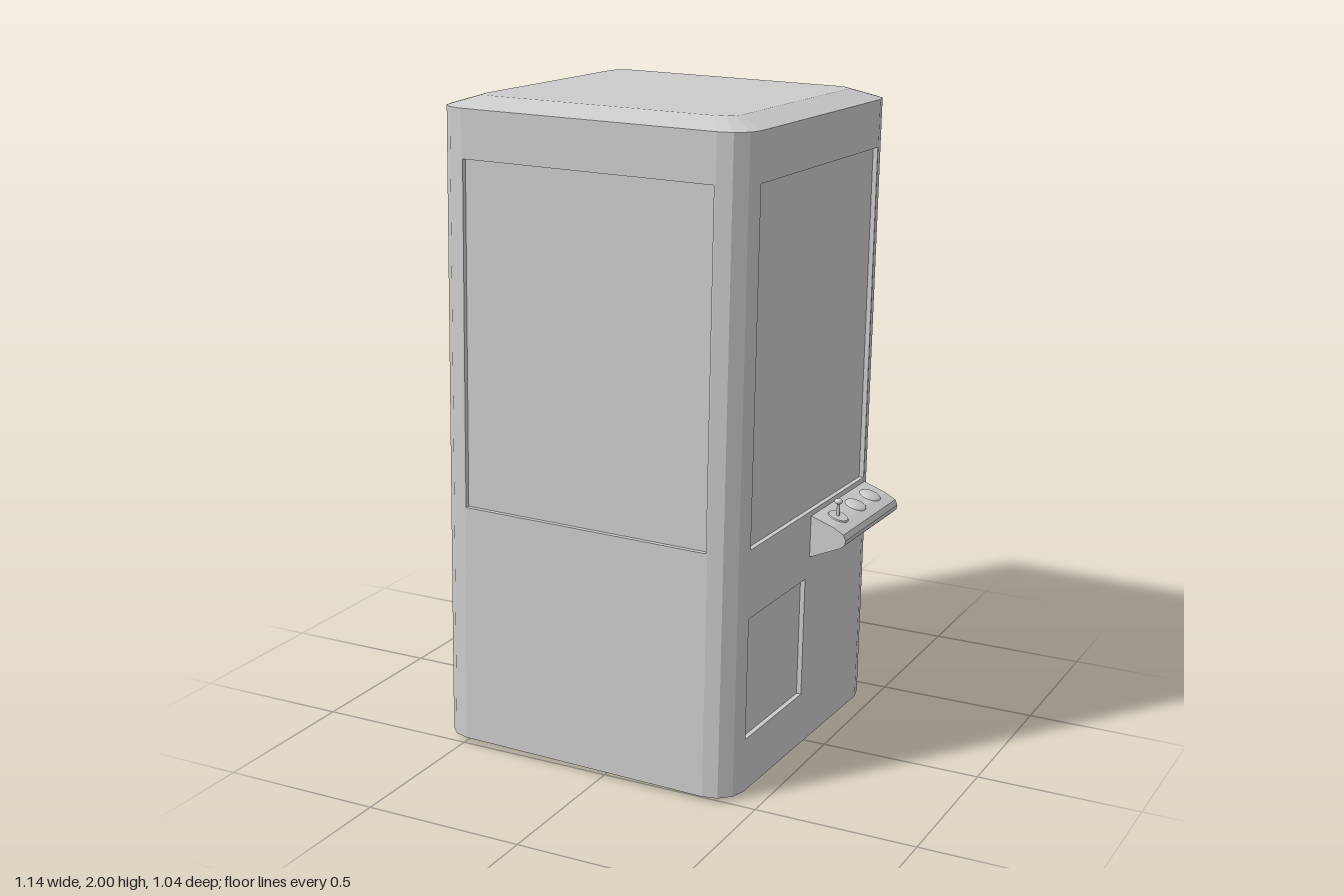
import * as THREE from 'three';

const flat = new THREE.MeshStandardMaterial({ color: 0xcccccc, flatShading: true });
const smooth = new THREE.MeshStandardMaterial({ color: 0xcccccc });

function add(parent, name, geometry, material, x = 0, y = 0, z = 0) {
  const mesh = new THREE.Mesh(geometry, material);
  mesh.name = name;
  mesh.position.set(x, y, z);
  parent.add(mesh);
  return mesh;
}

// Rounded-square outline at one height
function ring(half, radius, y) {
  const points = [];
  for (let k = 0; k < 4; k++) {
    const mid = (k + 0.5) * Math.PI / 2;
    const cx = Math.sign(Math.cos(mid)) * (half - radius);
    const cz = Math.sign(Math.sin(mid)) * (half - radius);
    for (let j = 0; j < 4; j++) {
      const a = (k + j / 3) * Math.PI / 2;
      points.push([cx + Math.cos(a) * radius, y, cz + Math.sin(a) * radius]);
    }
  }
  return points;
}

// Corner columns, plain side, bevelled roof and floor; open where panels go
function shellGeometry() {
  const rings = [ring(0.5, 0.09, 0), ring(0.5, 0.09, 1.945), ring(0.412, 0.055, 1.975)];
  const n = rings[0].length;
  const pos = [];
  const tri = (a, b, c) => pos.push(...a, ...b, ...c);
  for (let i = 0; i < n; i++) {
    const j = (i + 1) % n;
    for (let level = 0; level < 2; level++) {
      const isOpening = level === 0 && i % 4 === 3 && i !== 7;
      if (isOpening) continue;
      const low = rings[level], high = rings[level + 1];
      tri(low[i], high[i], high[j]);
      tri(low[i], high[j], low[j]);
    }
    tri([0, 1.975, 0], rings[2][j], rings[2][i]);
    tri([0, 0, 0], rings[0][i], rings[0][j]);
  }
  const geometry = new THREE.BufferGeometry();
  geometry.setAttribute('position', new THREE.Float32BufferAttribute(pos, 3));
  geometry.computeVertexNormals();
  return geometry;
}

function rectangle(target, x0, y0, x1, y1) {
  target.moveTo(x0, y0);
  target.lineTo(x1, y0);
  target.lineTo(x1, y1);
  target.lineTo(x0, y1);
  target.closePath();
  return target;
}

// Wall with recessed openings, each [name, x0, y0, x1, y1]
function wall(name, openings, angle) {
  const depth = 0.015;
  const group = new THREE.Group();
  group.name = name;
  group.rotation.y = angle;
  const shape = rectangle(new THREE.Shape(), -0.41, 0, 0.41, 1.945);
  for (const [label, x0, y0, x1, y1] of openings) {
    shape.holes.push(rectangle(new THREE.Path(), x0, y0, x1, y1));
    add(group, label, new THREE.PlaneGeometry(x1 - x0, y1 - y0), flat,
      (x0 + x1) / 2, (y0 + y1) / 2, 0.5 - depth);
  }
  add(group, name + 'Frame', new THREE.ExtrudeGeometry(shape, { depth, bevelEnabled: false }),
    flat, 0, 0, 0.5 - depth);
  return group;
}

// Sloped control shelf with two buttons and a joystick
function controlPanel() {
  const group = new THREE.Group();
  group.name = 'controlPanel';
  const profile = [[0.49, 0.735], [0.49, 0.603], [0.505, 0.605], [0.6, 0.648], [0.613, 0.66],
    [0.616, 0.675], [0.608, 0.692], [0.575, 0.71], [0.505, 0.733]];
  const shape = new THREE.Shape(profile.map(([x, y]) => new THREE.Vector2(x, y)));
  add(group, 'shelf', new THREE.ExtrudeGeometry(shape, { depth: 0.405, bevelEnabled: false }),
    flat, 0, 0, -0.413);

  const slope = -0.31;
  for (const z of [-0.338, -0.225]) {
    const dome = new THREE.SphereGeometry(0.035, 24, 8, 0, Math.PI * 2, 0, Math.PI / 2);
    dome.scale(1, 0.3, 1);
    add(group, 'button', dome, smooth, 0.552, 0.717, z).rotation.z = slope;
  }

  const joystick = new THREE.Group();
  joystick.name = 'joystick';
  joystick.position.set(0.552, 0.717, -0.092);
  add(joystick, 'joystickBase', new THREE.CylinderGeometry(0.031, 0.035, 0.008, 24), smooth)
    .rotation.z = slope;
  add(joystick, 'joystickShaft', new THREE.CylinderGeometry(0.005, 0.005, 0.05, 12), smooth, 0, 0.025, 0);
  const knob = new THREE.SphereGeometry(0.013, 16, 10);
  knob.scale(1, 0.7, 1);
  add(joystick, 'joystickKnob', knob, smooth, 0, 0.049, 0);
  group.add(joystick);
  return group;
}

export function createModel() {
  const model = new THREE.Group();
  model.name = 'arcadeCabinet';

  // The whole cabinet leans very slightly
  const cabinet = new THREE.Group();
  cabinet.name = 'cabinet';
  cabinet.position.set(-0.065, 0.013, 0.0175);
  cabinet.rotation.set(-0.014, -0.013, -0.013);
  model.add(cabinet);

  add(cabinet, 'shell', shellGeometry(), flat);
  const pane = ['window', -0.405, 0.75, 0.405, 1.8];
  const door = ['prizeDoor', -0.405, 0.165, -0.02, 0.54];
  cabinet.add(
    wall('frontWall', [pane], 0),
    wall('controlSideWall', [pane, door], Math.PI / 2),
    wall('backWall', [pane], Math.PI),
    controlPanel()
  );
  return model;
}
